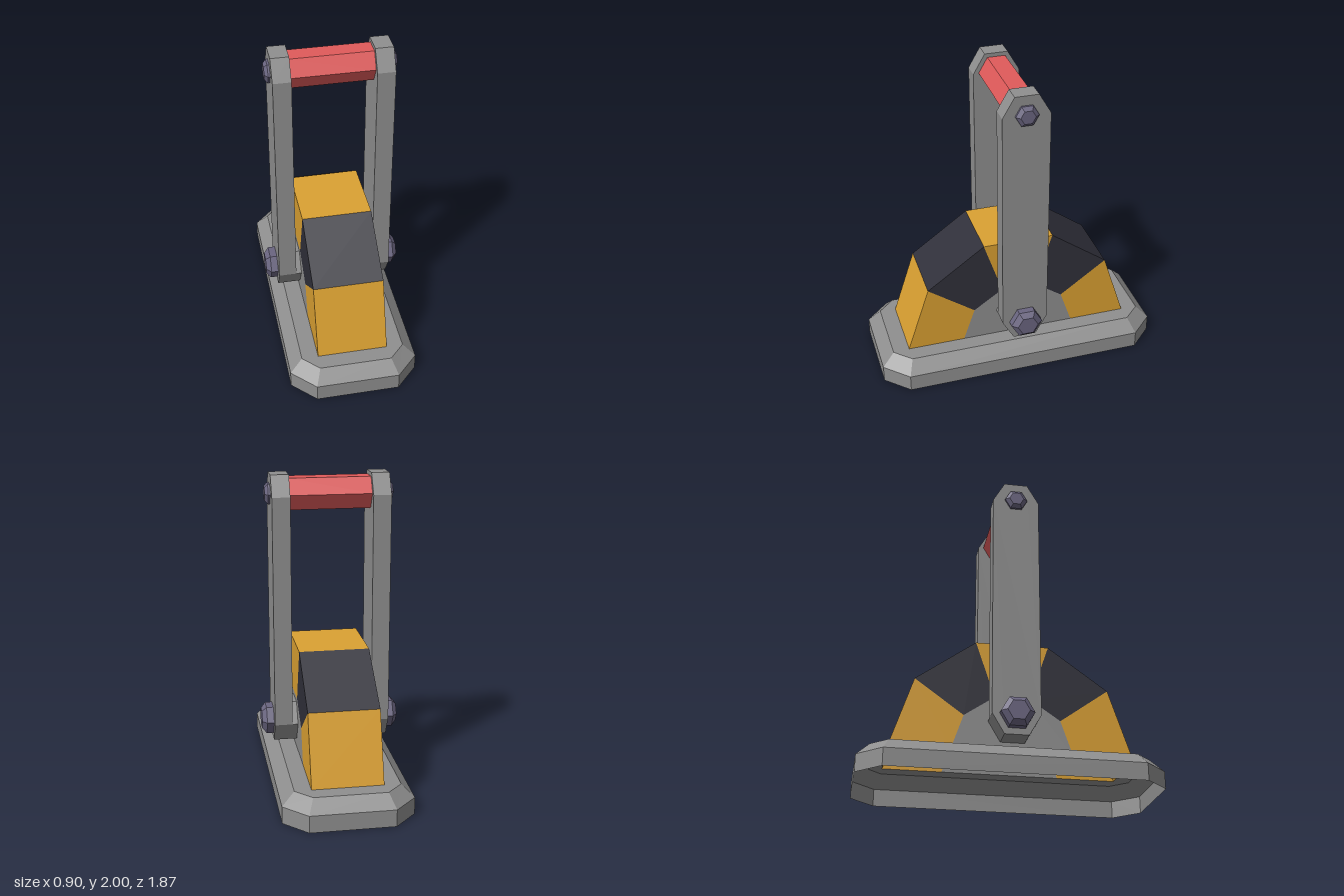
import * as THREE from 'three';

const make = (name, color, shell) => {
  const m = new THREE.MeshStandardMaterial({ color, flatShading: true });
  m.name = name;
  if (shell) m.side = THREE.DoubleSide;
  return m;
};

// Geometry from a list of four-cornered faces
function quads(faces) {
  const pos = [];
  for (const [a, b, c, d] of faces) pos.push(...a, ...b, ...c, ...a, ...c, ...d);
  const g = new THREE.BufferGeometry();
  g.setAttribute('position', new THREE.Float32BufferAttribute(pos, 3));
  g.computeVertexNormals();
  return g;
}

const shapeOf = (pts) => new THREE.Shape(pts.map(([a, b]) => new THREE.Vector2(a, b)));

// Eight-cornered outline, running counterclockwise seen from above
function octagon(x, z, cx, cz, y) {
  return [[-cx, z], [cx, z], [x, cz], [x, -cz], [cx, -z], [-cx, -z], [-x, -cz], [-x, cz]]
    .map(([px, pz]) => [px, y, pz]);
}

export function createModel() {
  const group = new THREE.Group();
  const grey = make('greyMetal', 0x8f8f8f, true);
  const yellow = make('yellowPaint', 0xdba132, true);
  const black = make('blackPaint', 0x30303a, true);
  const red = make('redGrip', 0xe05a5a);
  const steel = make('boltSteel', 0x6a6580);

  const add = (name, geo, mat, parent = group) => {
    const mesh = new THREE.Mesh(geo, mat);
    mesh.name = name;
    parent.add(mesh);
    return mesh;
  };

  // Base: hollow shell with a bevelled rim, open below
  const base = new THREE.Group();
  base.name = 'base';
  group.add(base);
  const loops = [
    octagon(0.41, 0.935, 0.265, 0.785, 0),
    octagon(0.41, 0.935, 0.265, 0.785, 0.11),
    octagon(0.33, 0.855, 0.23, 0.75, 0.19),
  ];
  const rim = [];
  for (let l = 0; l < 2; l++) {
    for (let i = 0; i < 8; i++) {
      const j = (i + 1) % 8;
      rim.push([loops[l][i], loops[l][j], loops[l + 1][j], loops[l + 1][i]]);
    }
  }
  add('baseRim', quads(rim), grey, base);

  // Flat top of the base, cut out under the housing
  const W = 0.225;
  const top = shapeOf(loops[2].map(([x, , z]) => [x, -z]));
  top.holes.push(shapeOf([[-W, -0.75], [-W, 0.75], [W, 0.75], [W, -0.75]]));
  const topMesh = add('baseTop', new THREE.ShapeGeometry(top), grey, base);
  topMesh.rotation.x = -Math.PI / 2;
  topMesh.position.y = 0.19;

  // Striped housing: five arch segments, profiles given as [z, y]
  const mirror = (half) => [...half, ...half.map(([z, y]) => [-z, y]).reverse()];
  const outer = mirror([[0.75, 0.19], [0.605, 0.63], [0.23, 0.9]]);
  const inner = mirror([[0.375, 0.19], [0.3, 0.41], [0.11, 0.54]]);
  const housing = new THREE.Group();
  housing.name = 'housing';
  group.add(housing);
  const at = (x, [z, y]) => [x, y, z];
  for (let i = 0; i < 5; i++) {
    const [P, Q, p, q] = [outer[i], outer[i + 1], inner[i], inner[i + 1]];
    add(i % 2 ? 'blackStripe' : 'yellowStripe', quads([
      [at(-W, P), at(W, P), at(W, Q), at(-W, Q)],
      [at(W, P), at(W, p), at(W, q), at(W, Q)],
      [at(-W, P), at(-W, Q), at(-W, q), at(-W, p)],
    ]), i % 2 ? black : yellow, housing);
  }

  // Grey cheek plates filling the arch on both sides
  for (const s of [1, -1]) {
    const cheek = add('cheekPlate', new THREE.ShapeGeometry(shapeOf(inner)), grey, housing);
    cheek.rotation.y = s * Math.PI / 2;
    cheek.position.x = s * W;
  }

  // Six-sided bars lying along x
  const hexBar = (name, r0, r1, x0, x1, y, mat, parent) => {
    const geo = new THREE.CylinderGeometry(r1, r0, x1 - x0, 6);
    geo.rotateZ(-Math.PI / 2);
    geo.translate((x0 + x1) / 2, y, 0);
    return add(name, geo, mat, parent);
  };
  const pivotY = 0.38, gripY = 1.875;
  hexBar('axle', 0.15, 0.15, -0.265, 0.265, pivotY, grey, group);
  hexBar('grip', 0.115, 0.115, -0.265, 0.265, gripY, red, group);

  // Lever arms with clipped ends
  const armShape = shapeOf([
    [-0.075, 0.25], [0.075, 0.25], [0.15, 0.38], [0.15, 1.87],
    [0.075, 2], [-0.075, 2], [-0.15, 1.87], [-0.15, 0.38],
  ]);
  const armGeo = new THREE.ExtrudeGeometry(armShape, { depth: 0.115, bevelEnabled: false });
  armGeo.rotateY(-Math.PI / 2);
  for (const s of [1, -1]) {
    const arm = add(s > 0 ? 'leftArm' : 'rightArm', armGeo, grey);
    arm.position.x = s > 0 ? 0.375 : -0.26;

    // Bolt heads with a chamfered face
    const bolts = new THREE.Group();
    bolts.name = s > 0 ? 'leftBolts' : 'rightBolts';
    if (s < 0) bolts.rotation.y = Math.PI;
    group.add(bolts);
    hexBar('pivotBolt', 0.104, 0.104, 0.37, 0.42, pivotY, steel, bolts);
    hexBar('pivotBoltFace', 0.104, 0.068, 0.42, 0.45, pivotY, steel, bolts);
    hexBar('gripBolt', 0.073, 0.073, 0.37, 0.388, gripY, steel, bolts);
    hexBar('gripBoltFace', 0.073, 0.047, 0.388, 0.408, gripY, steel, bolts);
  }
  return group;
}
